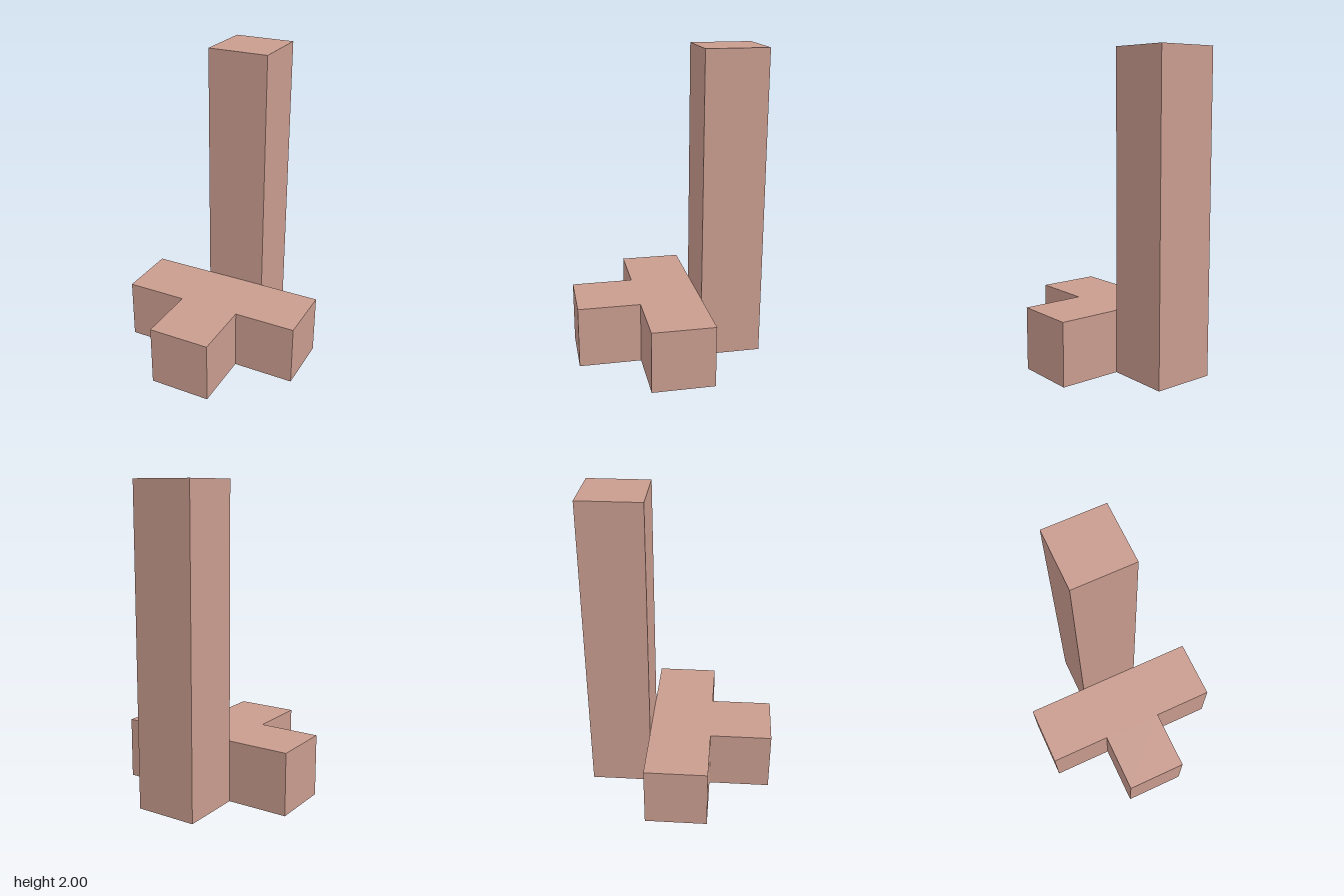
import * as THREE from 'three';

export function createModel() {
  const model = new THREE.Group();
  model.name = 'crossBasedPillar';
  const clay = new THREE.MeshStandardMaterial({ color: 0xc99c8f });
  clay.name = 'dusty pink clay';

  const unit = 0.4; // side of one square module

  // Adds a block standing on the ground
  function addBlock(name, width, height, x, z) {
    const mesh = new THREE.Mesh(new THREE.BoxGeometry(width, height, unit), clay);
    mesh.name = name;
    mesh.position.set(x, height / 2, z);
    model.add(mesh);
  }

  // Cross-shaped foot: a wide bar with an arm reaching forward
  addBlock('crossBar', 3 * unit, unit, 0, 0);
  addBlock('frontArm', unit, unit, 0, unit);

  // Tall pillar forming the rear arm of the cross
  addBlock('rearPillar', unit, 5 * unit, 0, -unit);

  return model;
}
